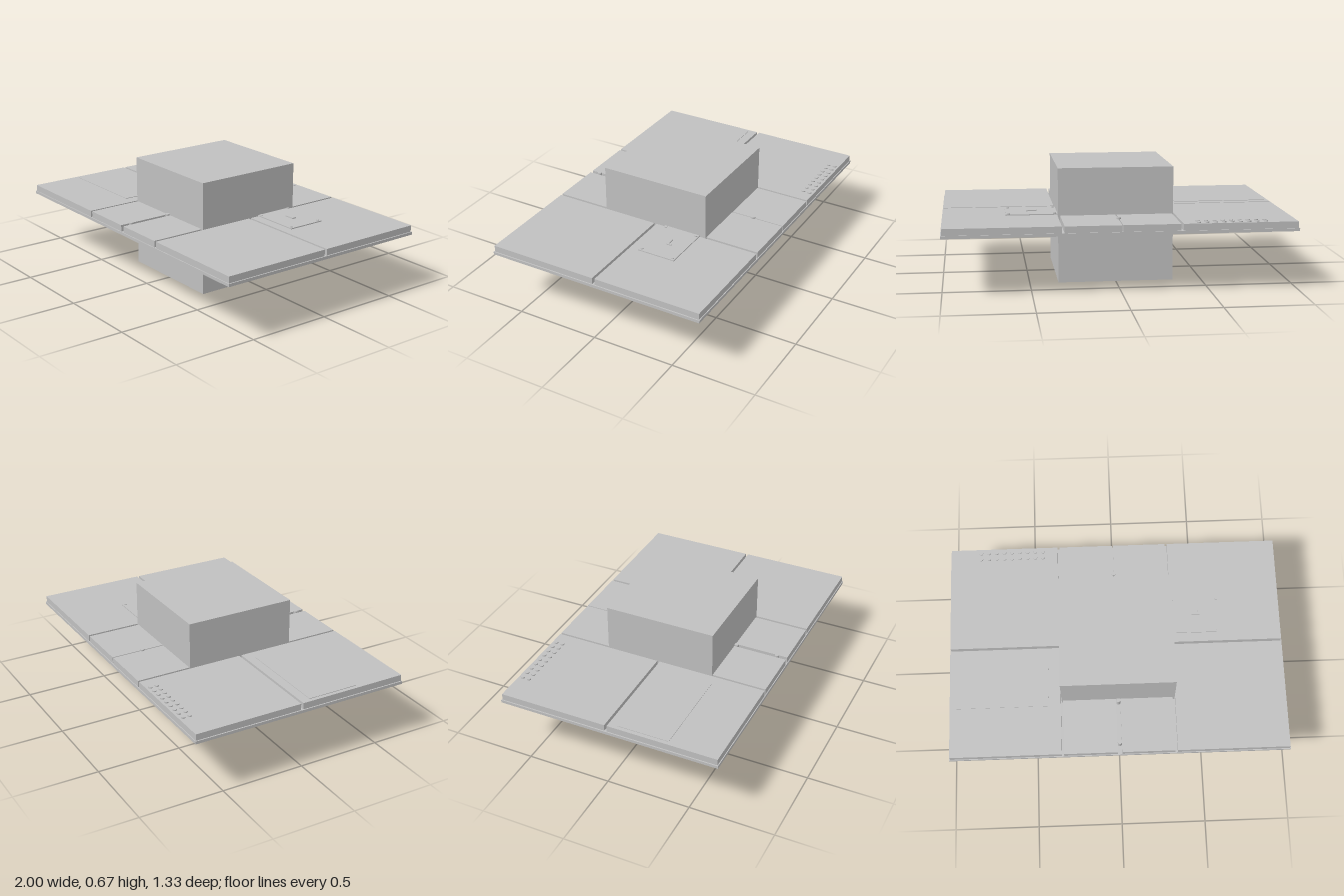
import * as THREE from 'three';

export function createModel() {
  const group = new THREE.Group();
  const grey = new THREE.MeshStandardMaterial({ color: 0xc0c0c0 });
  grey.name = 'plainGrey';

  // Box given by its minimum and maximum along each axis
  function box(name, x0, x1, y0, y1, z0, z1) {
    const mesh = new THREE.Mesh(new THREE.BoxGeometry(x1 - x0, y1 - y0, z1 - z0), grey);
    mesh.name = name;
    mesh.position.set((x0 + x1) / 2, (y0 + y1) / 2, (z0 + z1) / 2);
    group.add(mesh);
  }

  // Small upright disc
  function stud(name, x, z, radius, y0, y1) {
    const mesh = new THREE.Mesh(new THREE.CylinderGeometry(radius, radius, y1 - y0, 12), grey);
    mesh.name = name;
    mesh.position.set(x, (y0 + y1) / 2, z);
    group.add(mesh);
  }

  const deck = 0.355, top = 0.393;

  // Central block and the base sheet it passes through
  box('centralBlock', -0.334, 0.334, 0, 0.668, -0.334, 0.334);
  box('baseSheet', -1, 1, 0.338, deck, -0.665, 0.665);

  // Corner panels with narrow gaps between them
  for (const [x0, x1] of [[-0.993, -0.34], [0.337, 0.993]]) {
    box('backCornerPanel', x0, x1, deck, top, -0.66, -0.012);
    box('frontCornerPanel', x0, x1, deck, top, 0.003, 0.66);
  }

  // Middle panels in front of and behind the block
  box('frontMiddlePanel', -0.327, -0.012, deck, top, 0.32, 0.66);
  box('frontMiddlePanel', 0.012, 0.322, deck, top, 0.32, 0.66);
  box('backMiddlePanel', -0.327, -0.003, deck, top, -0.66, -0.32);
  box('backMiddlePanel', 0.003, 0.322, deck, top, -0.66, -0.32);

  // Studs along the middle seams
  for (const z of [0.6, 0.345, -0.47]) stud('seamStud', 0, z, 0.013, deck, 0.402);

  // Large thin plate on the front corner
  box('largePlate', -0.97, -0.41, top, 0.396, 0.057, 0.365);

  // Small cover plate with corner screws and a bent handle
  box('coverPlate', 0.33, 0.632, top, 0.399, -0.298, -0.068);
  for (const x of [0.35, 0.615])
    for (const z of [-0.283, -0.083]) stud('coverScrew', x, z, 0.008, 0.396, 0.404);
  box('handleBar', 0.45, 0.51, 0.398, 0.405, -0.19, -0.182);
  box('handleEnd', 0.502, 0.51, 0.398, 0.405, -0.21, -0.19);

  // Two rows of vent studs
  for (let i = 0; i < 9; i++)
    for (const z of [-0.635, -0.595]) stud('ventStud', -0.81 + i * 0.0475, z, 0.012, top - 0.002, 0.4);

  return group;
}
